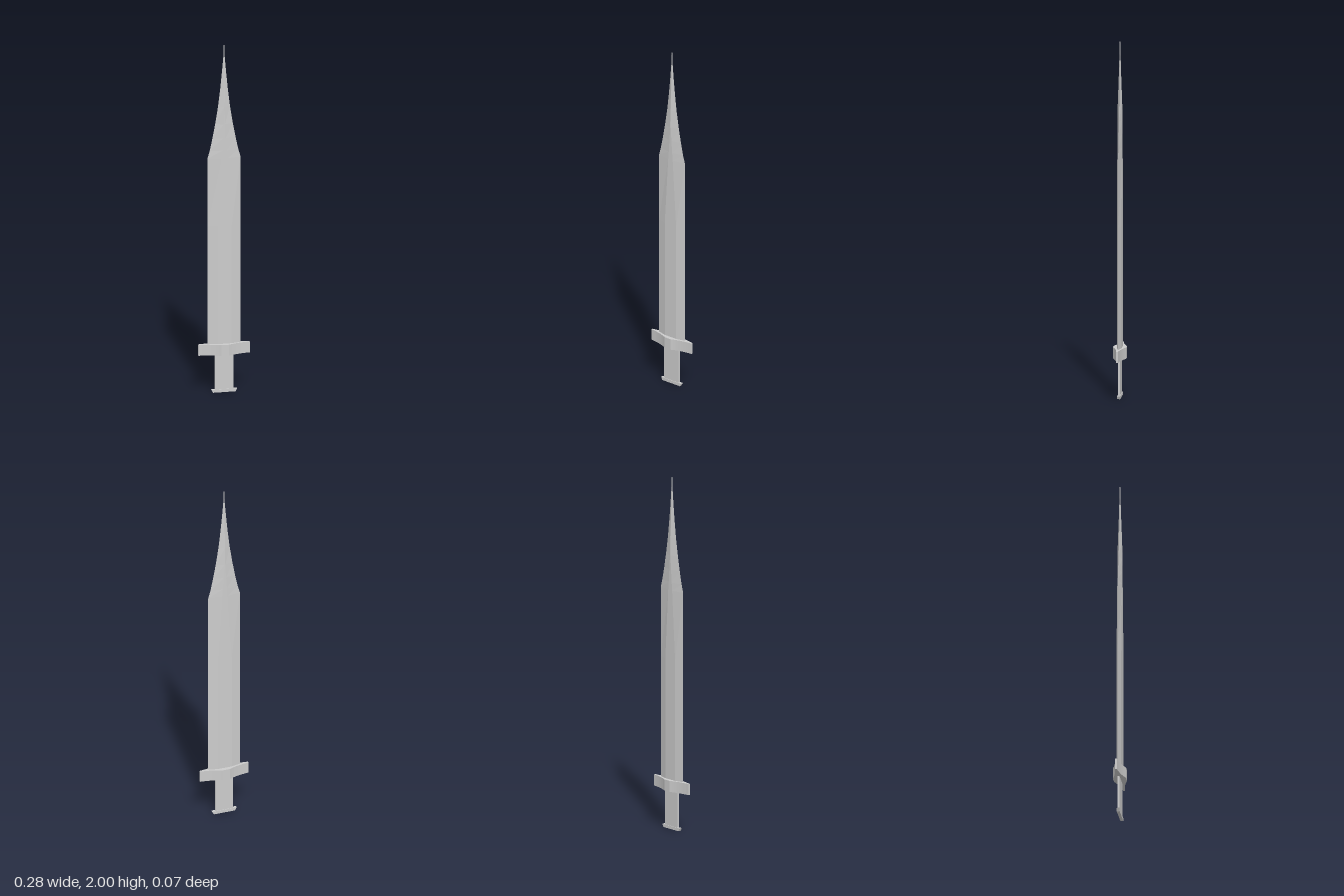
import * as THREE from 'three';

const material = new THREE.MeshStandardMaterial({ color: 0xcccccc, flatShading: true });

function part(name, geometry) {
  const mesh = new THREE.Mesh(geometry, material);
  mesh.name = name;
  return mesh;
}

// Six-sided blade lofted through rings of [y, half width, half flat, half thickness]
function bladeGeometry() {
  const rings = [
    [0.25, 0.092, 0.04, 0.013],
    [0.95, 0.092, 0.04, 0.013],
    [1.335, 0.092, 0.016, 0.013],
    [1.38, 0.079, 0.012, 0.013],
    [1.45, 0.064, 0.007, 0.013],
    [1.53, 0.049, 0.002, 0.013],
    [1.63, 0.033, 0.001, 0.012],
    [1.73, 0.021, 0.001, 0.008],
    [1.82, 0.012, 0.001, 0.005],
    [1.91, 0.004, 0.0008, 0.0025],
    [2.0, 0.0006, 0.0003, 0.0005],
  ];
  const positions = [];
  const index = [];
  rings.forEach(([y, w, f, t], i) => {
    const section = [[w, 0], [f, t], [-f, t], [-w, 0], [-f, -t], [f, -t]];
    section.forEach(([x, z], j) => {
      positions.push(x, y, z);
      if (i === 0) return;
      const k = (j + 1) % 6;
      const a = (i - 1) * 6 + j, b = (i - 1) * 6 + k;
      const c = i * 6 + j, d = i * 6 + k;
      index.push(a, c, b, b, c, d);
    });
  });
  const geometry = new THREE.BufferGeometry();
  geometry.setAttribute('position', new THREE.Float32BufferAttribute(positions, 3));
  geometry.setIndex(index);
  geometry.computeVertexNormals();
  return geometry;
}

// Guard: plan outline with concave arms, extruded upward
function guardGeometry() {
  const s = new THREE.Shape();
  s.moveTo(0.142, -0.005);
  s.lineTo(0.142, 0.005);
  s.quadraticCurveTo(0.07, 0.012, 0.021, 0.036);
  s.lineTo(-0.021, 0.036);
  s.quadraticCurveTo(-0.07, 0.012, -0.142, 0.005);
  s.lineTo(-0.142, -0.005);
  s.quadraticCurveTo(-0.07, -0.012, -0.021, -0.036);
  s.lineTo(0.021, -0.036);
  s.quadraticCurveTo(0.07, -0.012, 0.142, -0.005);
  const geometry = new THREE.ExtrudeGeometry(s, { depth: 0.062, bevelEnabled: false, curveSegments: 8 });
  return geometry.rotateX(-Math.PI / 2).translate(0, 0.216, 0);
}

// Pommel: thin bar with ends flaring upward
function pommelGeometry() {
  const s = new THREE.Shape();
  s.moveTo(-0.062, 0);
  s.lineTo(0.062, 0);
  s.lineTo(0.071, 0.017);
  s.lineTo(-0.071, 0.017);
  s.closePath();
  return new THREE.ExtrudeGeometry(s, { depth: 0.016, bevelEnabled: false }).translate(0, 0, -0.008);
}

export function createModel() {
  const sword = new THREE.Group();
  sword.name = 'sword';
  sword.add(part('blade', bladeGeometry()));
  sword.add(part('guard', guardGeometry()));
  sword.add(part('grip', new THREE.BoxGeometry(0.102, 0.22, 0.01).translate(0, 0.12, 0)));
  sword.add(part('pommel', pommelGeometry()));
  return sword;
}
